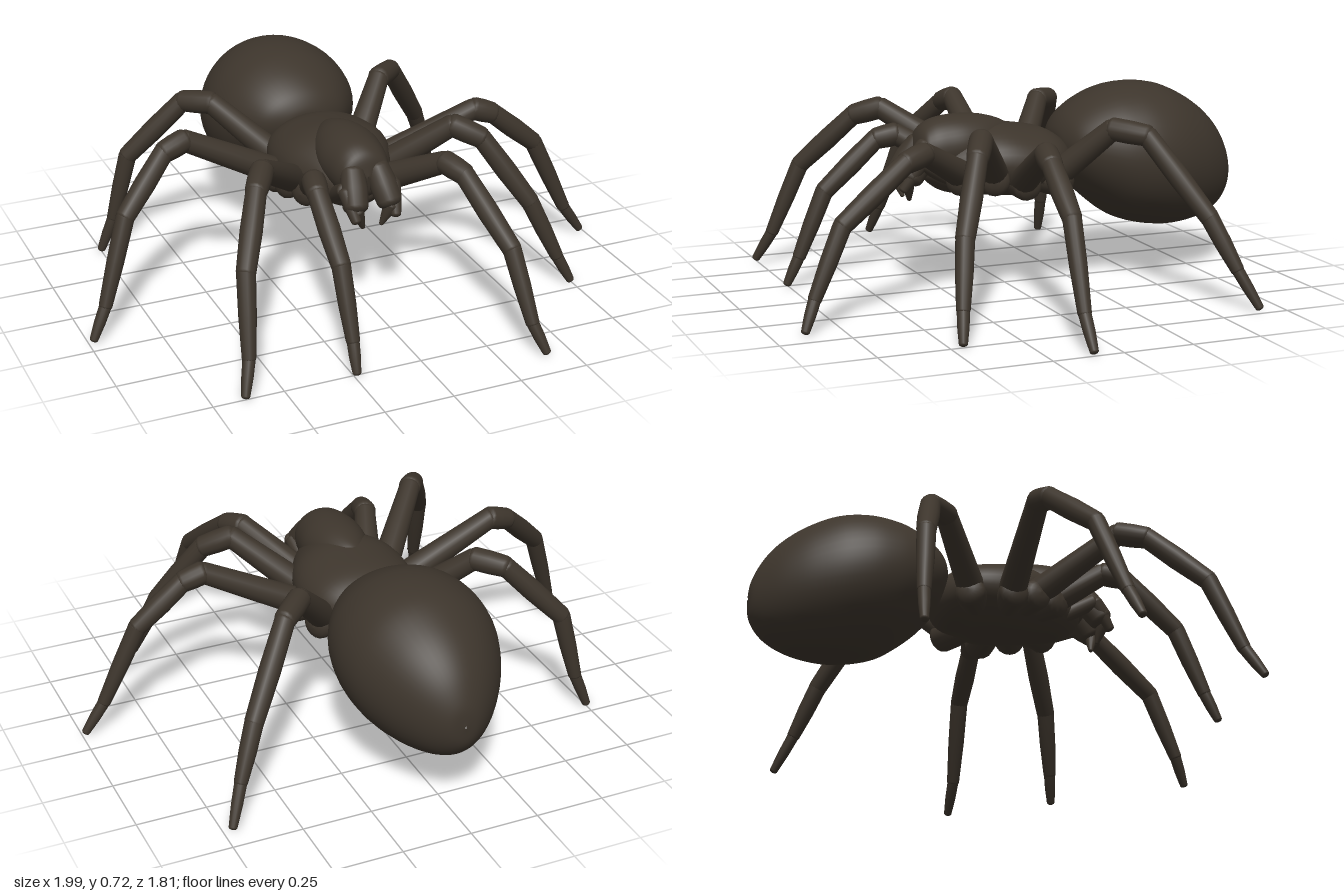
import * as THREE from 'three';

const shell = new THREE.MeshStandardMaterial({ color: 0x3d352c });
shell.name = 'dark brown shell';

const V = (p) => new THREE.Vector3(...p);

// Smooth body from elliptical sections [z, top, bottom, half width], ordered back to front
function loft(name, sections, cx, rings = 40, sides = 40) {
  const spine = new THREE.CatmullRomCurve3(
    sections.map(([z, t, b]) => new THREE.Vector3(cx, (t + b) / 2, z)), false, 'catmullrom');
  const radii = new THREE.CatmullRomCurve3(
    sections.map(([, t, b, w]) => new THREE.Vector3(w, (t - b) / 2, 0)), false, 'catmullrom');
  const pos = [], index = [];
  for (let k = 0; k <= rings; k++) {
    const c = spine.getPoint(k / rings), r = radii.getPoint(k / rings);
    for (let s = 0; s < sides; s++) {
      const a = (s / sides) * Math.PI * 2;
      pos.push(c.x + Math.cos(a) * r.x, c.y + Math.sin(a) * r.y, c.z);
      if (k === rings) continue;
      const i = k * sides + s, j = k * sides + (s + 1) % sides;
      index.push(i, j, i + sides, j, j + sides, i + sides);
    }
  }
  const geo = new THREE.BufferGeometry();
  geo.setAttribute('position', new THREE.Float32BufferAttribute(pos, 3));
  geo.setIndex(index);
  geo.computeVertexNormals();
  const mesh = new THREE.Mesh(geo, shell);
  mesh.name = name;
  return mesh;
}

// Tapered, slightly swollen limb segment with rounded ends
function segment(name, from, to, r0, r1, bulge = 1.08) {
  const a = V(from), b = V(to), len = a.distanceTo(b), pts = [];
  for (let i = 0; i <= 4; i++) {
    const t = (i / 4) * Math.PI / 2;
    pts.push(new THREE.Vector2(r0 * Math.sin(t), -r0 * 0.6 * Math.cos(t)));
  }
  pts.push(new THREE.Vector2(((r0 + r1) / 2) * bulge, len * 0.5));
  for (let i = 0; i <= 4; i++) {
    const t = (i / 4) * Math.PI / 2;
    pts.push(new THREE.Vector2(r1 * Math.cos(t), len + r1 * 0.6 * Math.sin(t)));
  }
  const mesh = new THREE.Mesh(new THREE.LatheGeometry(pts, 16), shell);
  mesh.name = name;
  mesh.position.copy(a);
  mesh.quaternion.setFromUnitVectors(new THREE.Vector3(0, 1, 0), b.sub(a).normalize());
  return mesh;
}

// Leg joints: hip, knee, below knee, shin end, ankle, foot tip
const LEGS = {
  rightFrontLeg: [[-0.14, 0.42, 0.14], [-0.22, 0.54, 0.34], [-0.235, 0.525, 0.41],
    [-0.235, 0.345, 0.61], [-0.235, 0.11, 0.71], [-0.24, 0.012, 0.755]],
  rightSecondLeg: [[-0.17, 0.42, 0.07], [-0.405, 0.61, 0.335], [-0.46, 0.58, 0.42],
    [-0.57, 0.385, 0.60], [-0.605, 0.125, 0.705], [-0.64, 0.02, 0.76]],
  rightThirdLeg: [[-0.18, 0.41, 0.0], [-0.56, 0.605, -0.015], [-0.64, 0.58, 0.0],
    [-0.82, 0.41, 0.10], [-0.925, 0.12, 0.165], [-0.98, 0.012, 0.19]],
  rightRearLeg: [[-0.15, 0.41, -0.12], [-0.36, 0.61, -0.285], [-0.44, 0.60, -0.365],
    [-0.64, 0.39, -0.43], [-0.70, 0.14, -0.45], [-0.75, 0.012, -0.46]],
  leftFrontLeg: [[0.10, 0.42, 0.18], [0.25, 0.55, 0.40], [0.285, 0.53, 0.48],
    [0.345, 0.345, 0.73], [0.375, 0.11, 0.84], [0.41, 0.012, 0.885]],
  leftSecondLeg: [[0.14, 0.42, 0.09], [0.36, 0.605, 0.235], [0.45, 0.56, 0.285],
    [0.60, 0.325, 0.39], [0.695, 0.11, 0.435], [0.745, 0.012, 0.455]],
  leftThirdLeg: [[0.16, 0.40, 0.0], [0.53, 0.575, 0.07], [0.60, 0.55, 0.08],
    [0.775, 0.405, 0.085], [0.91, 0.12, 0.1], [0.985, 0.012, 0.10]],
  leftRearLeg: [[0.14, 0.40, -0.12], [0.31, 0.60, -0.285], [0.40, 0.585, -0.375],
    [0.58, 0.315, -0.53], [0.66, 0.14, -0.60], [0.715, 0.012, -0.66]],
};
const PARTS = [['thigh', 0.052, 0.039, 1.0], ['knee', 0.042, 0.039, 1.04], ['shin', 0.036, 0.034, 1.1],
  ['lowerShin', 0.033, 0.024, 1.08], ['foot', 0.022, 0.015, 1.1]];

function leg(name, joints) {
  const g = new THREE.Group();
  g.name = name;
  PARTS.forEach(([part, r0, r1, bulge], i) => g.add(segment(part, joints[i], joints[i + 1], r0, r1, bulge)));
  // Hip joint tucked under the body
  const [x, y, z] = joints[0];
  g.add(segment('hip', [x * 0.5, y, z * 0.7], [x * 1.3, y, z * 1.25], 0.045, 0.055));
  return g;
}

export function createModel() {
  const model = new THREE.Group();
  model.name = 'spider';

  // Egg-shaped abdomen
  model.add(loft('abdomen', [
    [-0.91, 0.365, 0.355, 0.002], [-0.90, 0.435, 0.285, 0.058], [-0.86, 0.52, 0.23, 0.118],
    [-0.80, 0.592, 0.195, 0.175], [-0.72, 0.652, 0.175, 0.228], [-0.62, 0.70, 0.17, 0.27],
    [-0.52, 0.716, 0.185, 0.285], [-0.43, 0.71, 0.215, 0.276], [-0.36, 0.69, 0.262, 0.253],
    [-0.29, 0.655, 0.325, 0.21], [-0.235, 0.61, 0.395, 0.155], [-0.205, 0.56, 0.46, 0.08],
    [-0.198, 0.515, 0.51, 0.003],
  ], -0.015, 60, 48));

  // Body, and the raised head dome over its front
  model.add(loft('body', [
    [-0.26, 0.47, 0.43, 0.03], [-0.21, 0.53, 0.37, 0.13], [-0.14, 0.57, 0.35, 0.19],
    [-0.04, 0.59, 0.33, 0.215], [0.06, 0.60, 0.335, 0.205], [0.15, 0.58, 0.345, 0.17],
    [0.24, 0.54, 0.36, 0.12], [0.30, 0.49, 0.40, 0.06], [0.31, 0.45, 0.44, 0.003],
  ], -0.012));
  model.add(loft('head', [
    [-0.03, 0.56, 0.55, 0.003], [0.0, 0.60, 0.50, 0.05], [0.08, 0.628, 0.44, 0.10],
    [0.17, 0.636, 0.42, 0.118], [0.25, 0.63, 0.41, 0.11], [0.30, 0.612, 0.42, 0.097],
    [0.33, 0.58, 0.45, 0.075], [0.345, 0.52, 0.51, 0.003],
  ], -0.015));

  for (const [side, s] of [['left', 1], ['right', -1]]) {
    const at = (x, y, z) => [-0.015 + s * x, y, z];
    // Jaw and its downward fang
    model.add(segment(side + 'Jaw', at(0.047, 0.53, 0.31), at(0.064, 0.43, 0.378), 0.043, 0.045, 1.12));
    model.add(segment(side + 'Fang', at(0.065, 0.42, 0.39), at(0.035, 0.345, 0.375), 0.026, 0.008));
    // Short folded feeler beside the jaw
    model.add(segment(side + 'FeelerBase', at(0.075, 0.41, 0.22), at(0.09, 0.48, 0.34), 0.028, 0.028));
    model.add(segment(side + 'FeelerTip', at(0.09, 0.48, 0.35), at(0.075, 0.39, 0.41), 0.027, 0.018));
  }

  for (const [name, joints] of Object.entries(LEGS)) model.add(leg(name, joints));
  return model;
}
